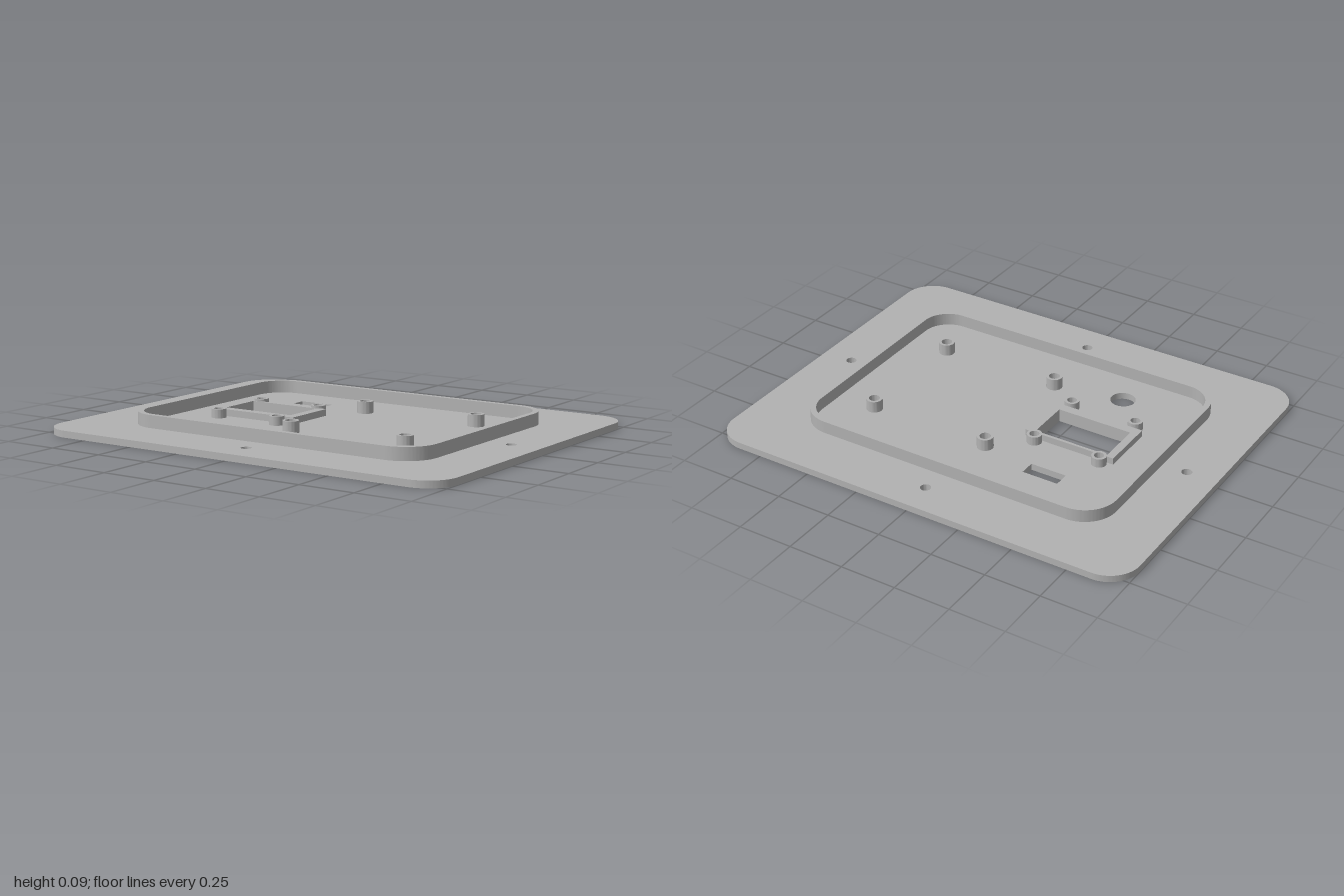
import * as THREE from 'three';
import { toCreasedNormals } from 'three/addons/utils/BufferGeometryUtils.js';

const PLATE_TOP = 0.03;

// Outlines are drawn in plan, with shape y = -z
function roundedRect(Type, w, d, r) {
  const s = new Type();
  s.absarc(w - r, d - r, r, 0, Math.PI / 2);
  s.absarc(-w + r, d - r, r, Math.PI / 2, Math.PI);
  s.absarc(-w + r, -d + r, r, Math.PI, Math.PI * 1.5);
  s.absarc(w - r, -d + r, r, Math.PI * 1.5, Math.PI * 2);
  s.closePath();
  return s;
}

function rect(Type, x0, x1, z0, z1) {
  const s = new Type();
  s.moveTo(x0, -z0);
  s.lineTo(x0, -z1);
  s.lineTo(x1, -z1);
  s.lineTo(x1, -z0);
  s.closePath();
  return s;
}

function circle(Type, x, z, r) {
  const s = new Type();
  s.absarc(x, -z, r, 0, Math.PI * 2);
  return s;
}

export function createModel() {
  const group = new THREE.Group();
  const grey = new THREE.MeshStandardMaterial({ color: 0xb2b2b2 });
  grey.name = 'grey plastic';

  // Extrude a plan outline upward from height y
  function addSlab(name, shape, holes, y, height) {
    shape.holes.push(...holes);
    let g = new THREE.ExtrudeGeometry(shape, { depth: height, bevelEnabled: false, curveSegments: 16 });
    g.rotateX(-Math.PI / 2);
    g.translate(0, y, 0);
    g = toCreasedNormals(g, 0.6);
    const mesh = new THREE.Mesh(g, grey);
    mesh.name = name;
    group.add(mesh);
  }

  const windowHole = () => rect(THREE.Path, -0.535, -0.185, -0.101, 0.098);

  // Base plate with screw holes, display window, slot and round opening
  addSlab('basePlate', roundedRect(THREE.Shape, 1, 0.806, 0.14), [
    ...[[0, -0.665], [0, 0.665], [-0.857, 0], [0.857, 0]].map(([x, z]) => circle(THREE.Path, x, z, 0.023)),
    windowHole(),
    rect(THREE.Path, -0.444, -0.278, -0.358, -0.288),
    circle(THREE.Path, -0.358, 0.356, 0.056),
  ], 0, PLATE_TOP);

  // Raised rim
  addSlab('rim', roundedRect(THREE.Shape, 0.746, 0.553, 0.15),
    [roundedRect(THREE.Path, 0.72, 0.527, 0.124)], PLATE_TOP, 0.057);

  // Raised frame around the display window
  addSlab('windowFrame', rect(THREE.Shape, -0.57, -0.143, -0.114, 0.14), [windowHole()], PLATE_TOP, 0.03);

  // Hollow standoffs: four around the window, four for the board
  const addStandoffs = (name, xs, zs, r, bore, height) => {
    for (const x of xs) for (const z of zs) {
      addSlab(name, circle(THREE.Shape, x, z, r), [circle(THREE.Path, x, z, bore)], PLATE_TOP, height);
    }
  };
  addStandoffs('windowStandoff', [-0.515, -0.2], [-0.136, 0.18], 0.033, 0.021, 0.04);
  addStandoffs('boardStandoff', [-0.043, 0.529], [-0.278, 0.294], 0.036, 0.024, 0.053);

  return group;
}
